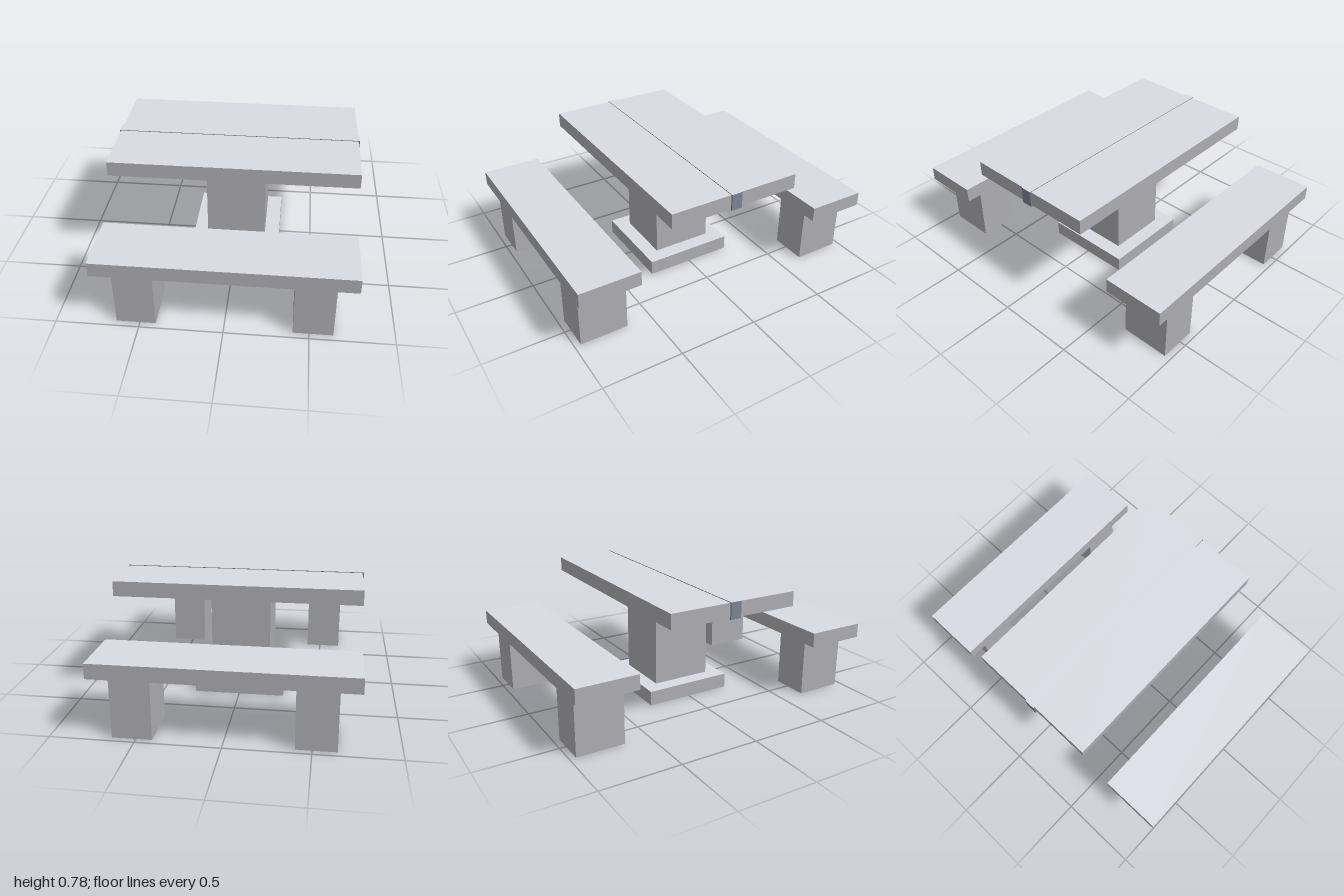
import * as THREE from 'three';

export function createModel() {
  const group = new THREE.Group();
  const paint = (name, color) => {
    const material = new THREE.MeshStandardMaterial({ color });
    material.name = name;
    return material;
  };
  const concrete = paint('concrete grey', 0xadacb1);
  const pale = paint('pale concrete', 0xd9dbe4);
  const steel = paint('steel blue grey', 0x7a8393);
  const dark = paint('dark grey', 0x7a7a7e);

  // Face order: +x, -x, top, bottom, +z, -z
  const slab = [concrete, concrete, pale, concrete, concrete, concrete];
  const divider = [steel, steel, pale, dark, dark, dark];

  // Box from its size, bottom height and plan position
  function block(parent, name, [w, h, d], [x, y, z], material) {
    const mesh = new THREE.Mesh(new THREE.BoxGeometry(w, h, d), material);
    mesh.name = name;
    mesh.position.set(x, y + h / 2, z);
    parent.add(mesh);
  }

  // Table: foot, pedestal, slab and the divider set across the slab
  const table = new THREE.Group();
  table.name = 'table';
  block(table, 'tableFoot', [0.572, 0.094, 0.572], [0, 0, 0], slab);
  block(table, 'tablePedestal', [0.38, 0.584, 0.386], [0, 0.094, 0], concrete);
  block(table, 'tableTop', [1.522, 0.094, 0.855], [0, 0.678, 0], slab);
  block(table, 'divider', [1.54, 0.104, 0.07], [0, 0.672, 0], divider);
  group.add(table);

  // Two benches, each a slab on two block legs
  for (const side of [1, -1]) {
    const bench = new THREE.Group();
    bench.name = side > 0 ? 'frontBench' : 'backBench';
    block(bench, 'seat', [1.522, 0.092, 0.38], [0, 0.374, side * 0.81], slab);
    for (const x of [0.523, -0.523]) {
      block(bench, x > 0 ? 'leftLeg' : 'rightLeg', [0.236, 0.374, 0.302], [x, 0, side * 0.81], concrete);
    }
    group.add(bench);
  }
  return group;
}
